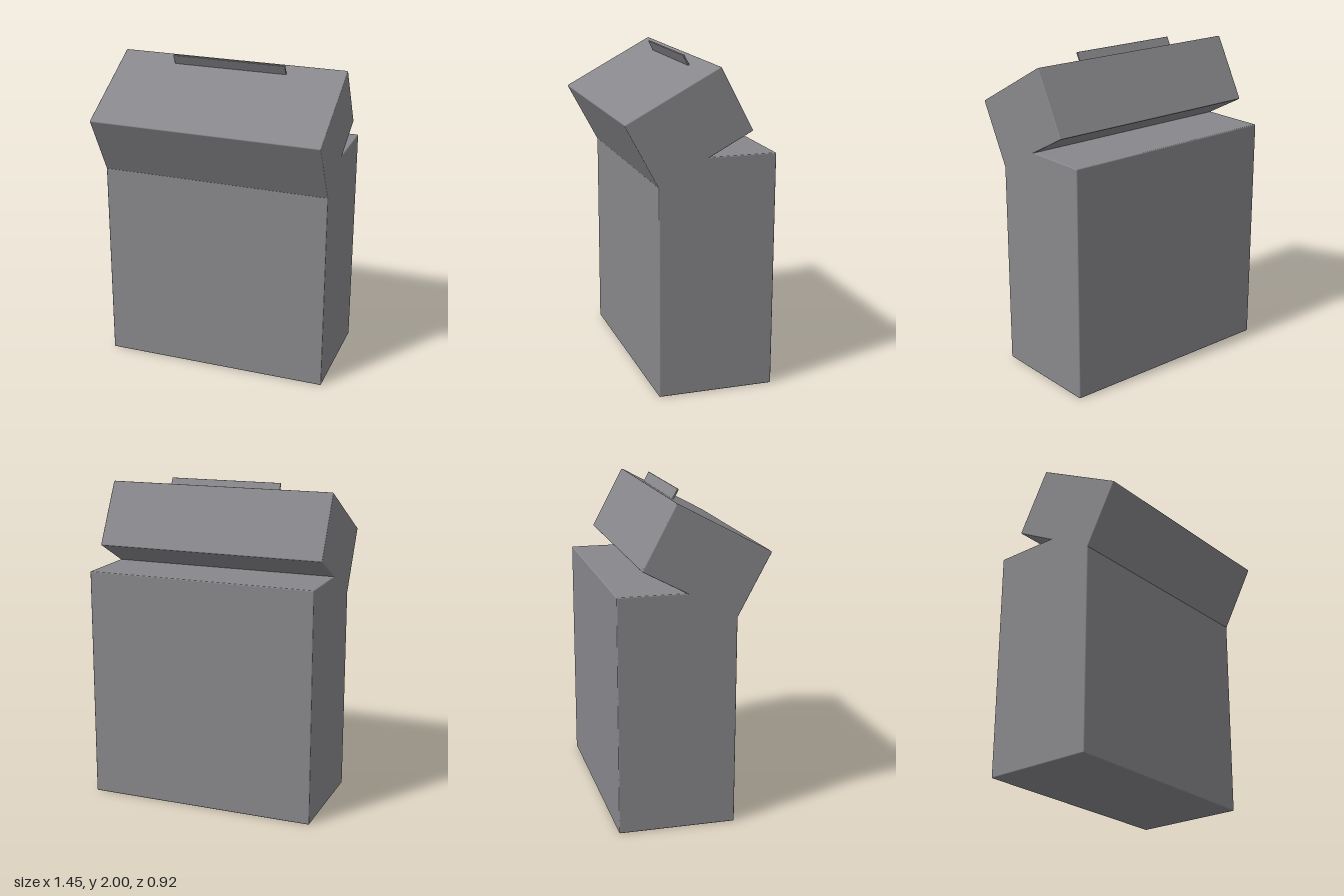
import * as THREE from 'three';
import { RoundedBoxGeometry } from 'three/addons/geometries/RoundedBoxGeometry.js';

export function createModel() {
  const model = new THREE.Group();
  model.name = 'flipTopBox';

  const grey = new THREE.MeshStandardMaterial({ color: 0x88888c });
  grey.name = 'grey';

  // Box with slightly softened edges
  function box(name, w, h, d, radius, x, y, z, parent) {
    const mesh = new THREE.Mesh(new RoundedBoxGeometry(w, h, d, 2, radius), grey);
    mesh.name = name;
    mesh.position.set(x, y, z);
    parent.add(mesh);
    return mesh;
  }

  // Upright body
  box('body', 1.45, 1.46, 0.72, 0.007, 0, 0.73, -0.1, model);

  // Lid tipped toward the front, sunk into the top of the body
  const lidGroup = new THREE.Group();
  lidGroup.name = 'lidGroup';
  lidGroup.position.set(0, 1.638, 0.075);
  lidGroup.rotation.x = 0.49;
  model.add(lidGroup);
  box('lid', 1.45, 0.432, 0.648, 0.007, 0, 0, 0, lidGroup);

  // Thin tab standing out of the lid's top face
  box('tab', 0.725, 0.085, 0.011, 0.004, 0, 0.2425, -0.242, lidGroup);

  return model;
}
